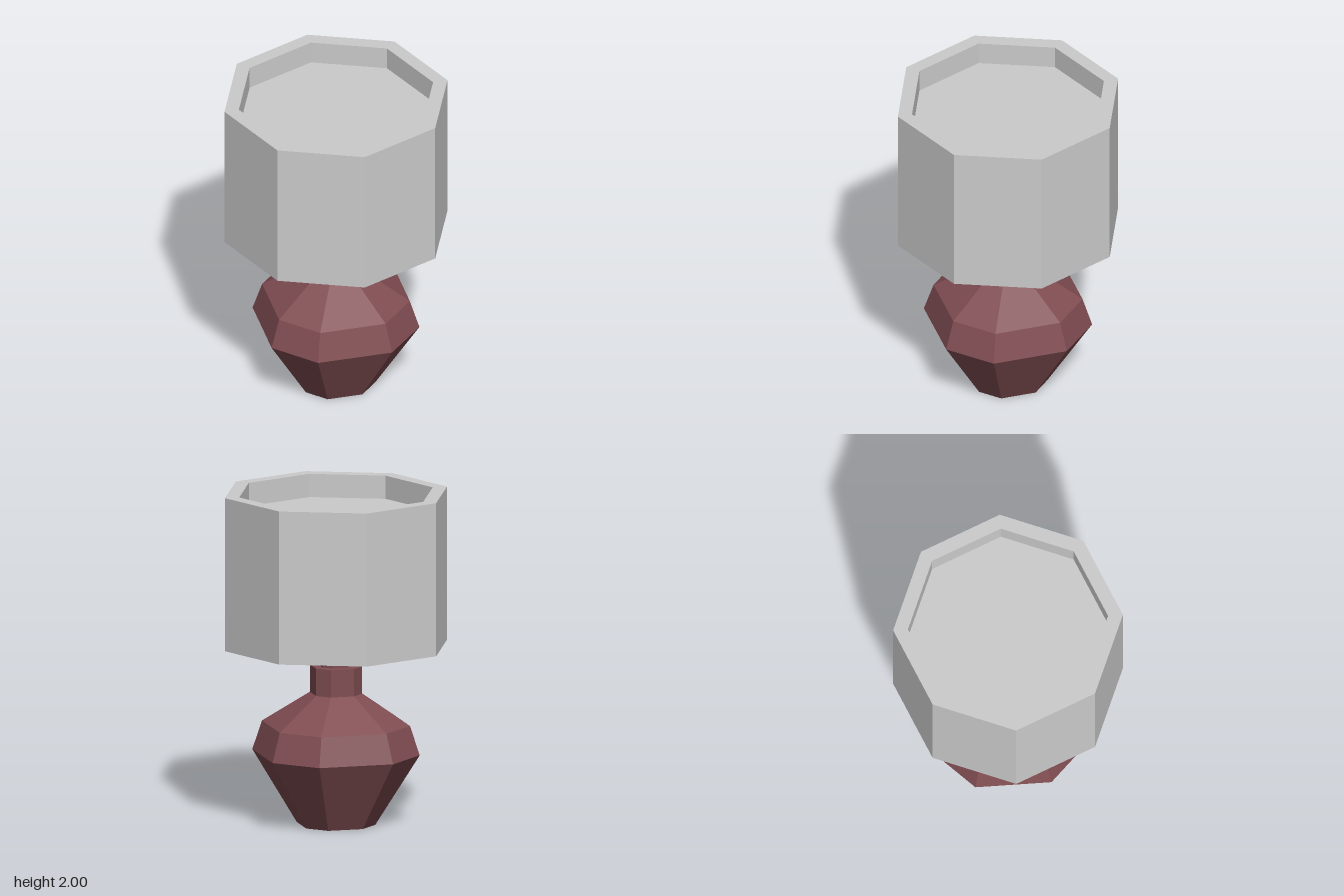
import * as THREE from 'three';

// Cross-section: a square with cut corners, flats one third of the width
const corners = [[1, 3], [3, 1], [3, -1], [1, -3], [-1, -3], [-3, -1], [-3, 1], [-1, 3]]
  .map(([x, z]) => [x / 3, z / 3]);

// Lofts the cross-section through [half width, height] pairs, from bottom to top
function loft(profile) {
  const pos = [];
  const point = ([r, y], i) => [corners[i % 8][0] * r, y, corners[i % 8][1] * r];
  for (let k = 0; k < profile.length - 1; k++) {
    const lower = profile[k], upper = profile[k + 1];
    for (let i = 0; i < 8; i++) {
      const a = point(lower, i), b = point(lower, i + 1);
      const c = point(upper, i + 1), d = point(upper, i);
      if (lower[0] > 0) pos.push(...a, ...b, ...c);
      if (upper[0] > 0) pos.push(...a, ...c, ...d);
    }
  }
  const geometry = new THREE.BufferGeometry();
  geometry.setAttribute('position', new THREE.Float32BufferAttribute(pos, 3));
  geometry.computeVertexNormals();
  return geometry;
}

export function createModel() {
  const group = new THREE.Group();
  const baseMaterial = new THREE.MeshStandardMaterial({ color: 0x804d52, flatShading: true });
  const shadeMaterial = new THREE.MeshStandardMaterial({ color: 0xcccccc, flatShading: true });

  const add = (name, geometry, material) => {
    const mesh = new THREE.Mesh(geometry, material);
    mesh.name = name;
    group.add(mesh);
  };

  // Faceted body, collar and the rod that carries the shade
  add('lampBody', loft([[0, 0], [0.225, 0], [0.48, 0.43], [0.425, 0.605], [0.15, 0.79], [0, 0.79]]), baseMaterial);
  add('collar', loft([[0, 0.79], [0.15, 0.79], [0.15, 0.955], [0, 0.955]]), baseMaterial);
  add('rod', loft([[0, 0.955], [0.1, 0.955], [0.1, 1.25], [0, 1.25]]), baseMaterial);

  // Eight-sided shade with a recess in both ends
  const shadeProfile = [
    [0, 1.25], [0.595, 1.25], [0.595, 1.075], [0.683, 1.075],
    [0.683, 2], [0.595, 2], [0.595, 1.86], [0, 1.86],
  ].map(([r, y]) => new THREE.Vector2(r, y));
  add('lampShade', new THREE.LatheGeometry(shadeProfile, 8), shadeMaterial);

  return group;
}
